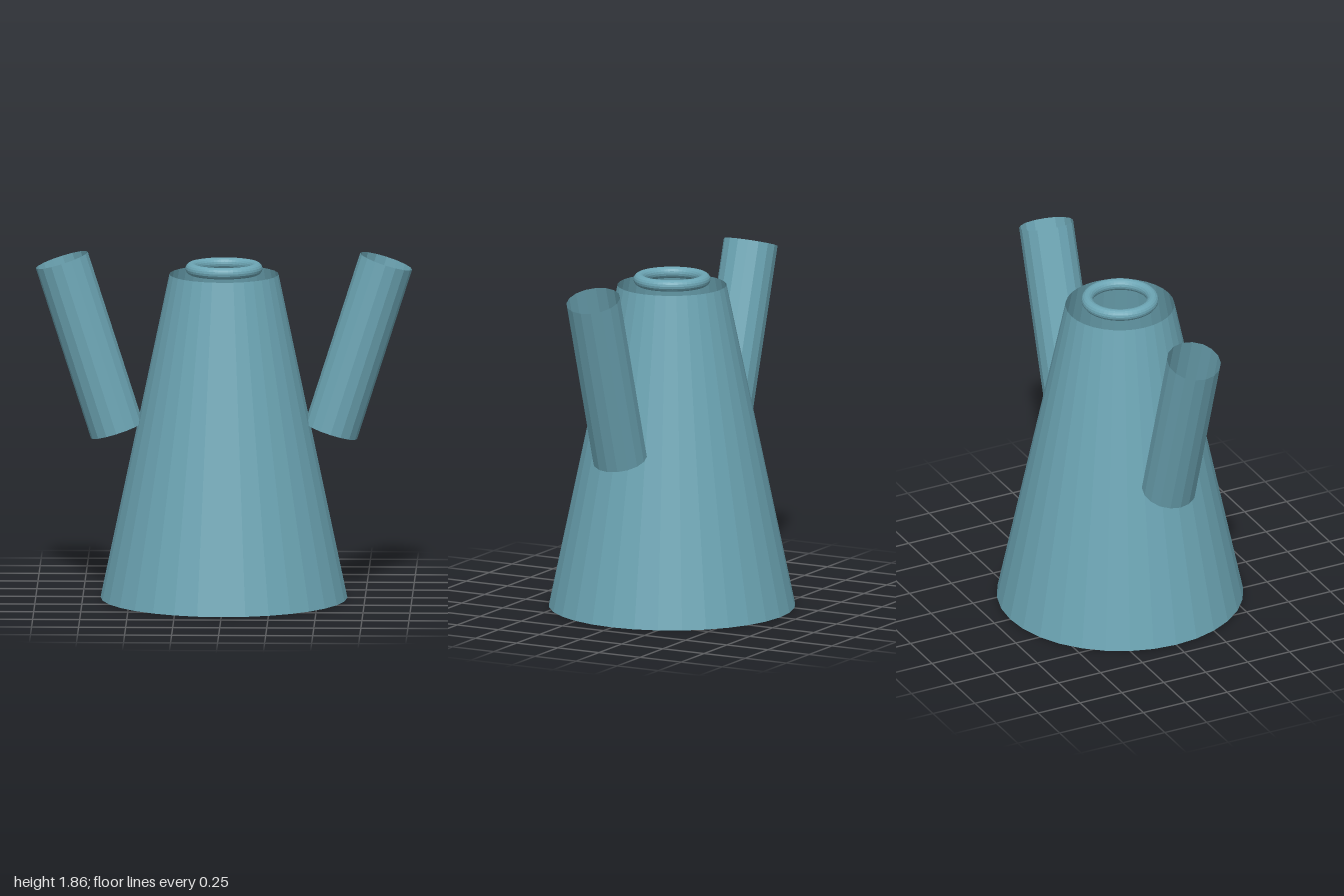
import * as THREE from 'three';

export function createModel() {
  const model = new THREE.Group();
  const teal = new THREE.MeshStandardMaterial({ color: 0x6ca5b4, side: THREE.DoubleSide, flatShading: true });
  teal.name = 'dusty teal';

  const add = (name, geometry, x, y) => {
    const mesh = new THREE.Mesh(geometry, teal);
    mesh.name = name;
    mesh.position.set(x, y, 0);
    model.add(mesh);
    return mesh;
  };

  // Hollow tapered body, open at both ends
  add('body', new THREE.CylinderGeometry(0.29, 0.656, 1.74, 32, 1, true), 0, 0.87);

  // Ring floating in the neck opening
  add('neckRing', new THREE.TorusGeometry(0.174, 0.031, 16, 48), 0, 1.77).rotation.x = Math.PI / 2;

  // Raised open tubes, mirrored
  for (const side of [1, -1]) {
    const arm = add(side > 0 ? 'leftArm' : 'rightArm',
      new THREE.CylinderGeometry(0.145, 0.145, 0.96, 16, 1, true), side * 0.7155, 1.355);
    arm.rotation.z = -side * 0.31;
  }
  return model;
}
